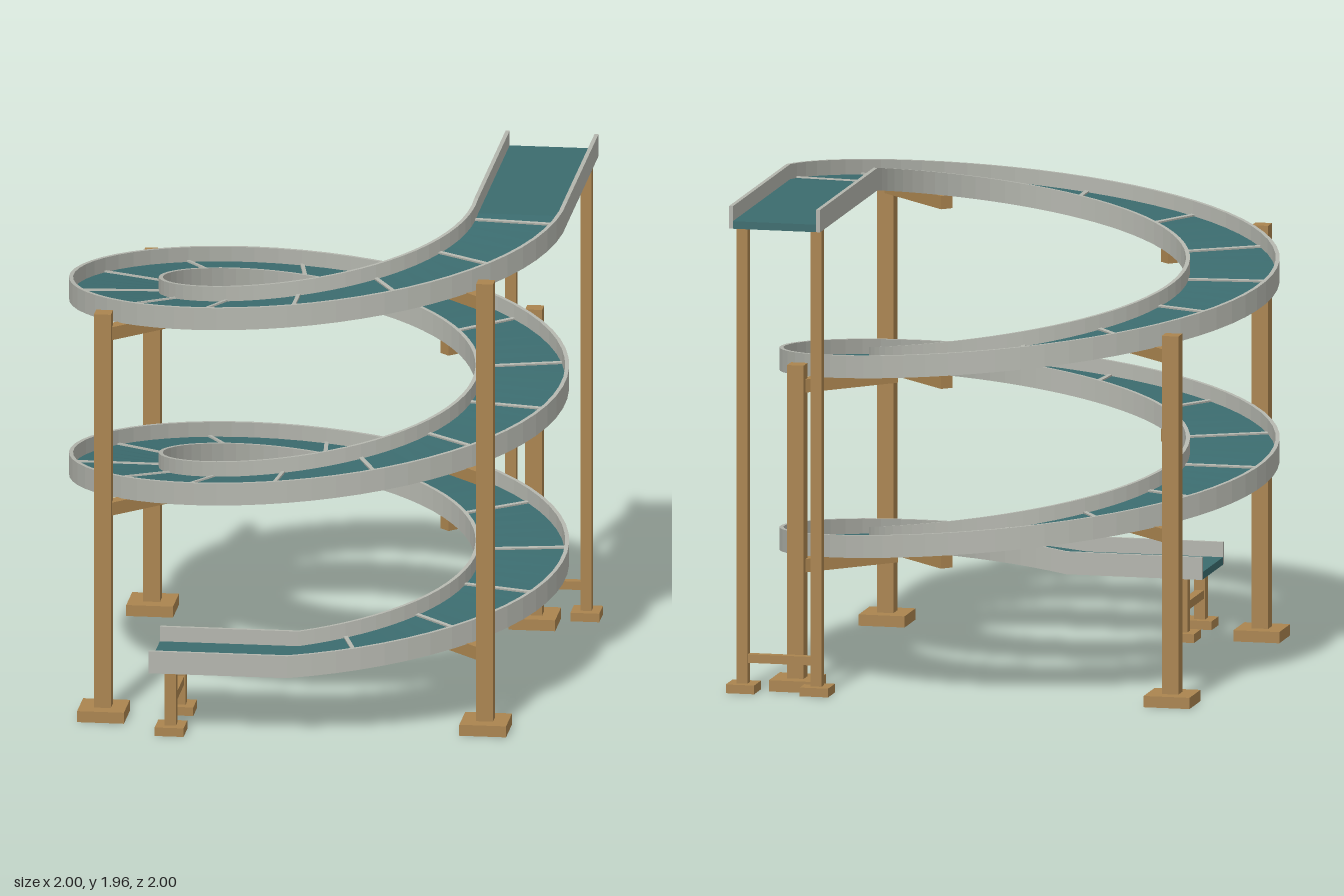
import * as THREE from 'three';

const CX = -0.013, CZ = -0.013;             // helix axis
const R_IN = 0.617, R_OUT = 0.987, R_MID = 0.802, WALL = 0.016;
const BASE = 0.25, PITCH = 0.72, SEGS = 144, STEP = Math.PI * 2 / 64;

const wood = new THREE.MeshStandardMaterial({ color: 0xaa844f });
wood.name = 'wood';
const metal = new THREE.MeshStandardMaterial({ color: 0xb3b5ad });
metal.name = 'grey metal';
const belt = new THREE.MeshStandardMaterial({ color: 0x3b6b6e });
belt.name = 'teal deck';

const heightAt = (t) => BASE + PITCH * t / (Math.PI * 2);

// Stations along the track: straight entry, 2.25 turns, straight exit
const stations = [];
for (let i = 0; i <= SEGS; i++) {
  const t = i * STEP;
  stations.push({ ox: Math.sin(t), oz: Math.cos(t), sx: 0, sz: 0, y: heightAt(t) });
}
stations.unshift({ ...stations[0], sx: -0.552 });
stations.push({ ...stations[stations.length - 1], sz: -0.972 });

// Sweeps a rectangle (radius r0..r1, height h0..h1) along the track, with flat facets
function sweep(r0, r1, h0, h1) {
  const rings = stations.map((s) => [[r0, h0], [r1, h0], [r1, h1], [r0, h1]].map(([r, h]) =>
    [CX + s.ox * r + s.sx, s.y + h, CZ + s.oz * r + s.sz]));
  const pos = [];
  const quad = (a, b, c, d) => pos.push(...a, ...b, ...c, ...a, ...c, ...d);
  for (let i = 0; i < rings.length - 1; i++) {
    for (let k = 0; k < 4; k++) {
      const n = (k + 1) % 4;
      quad(rings[i][k], rings[i + 1][k], rings[i + 1][n], rings[i][n]);
    }
  }
  const first = rings[0], last = rings[rings.length - 1];
  quad(first[0], first[1], first[2], first[3]);
  quad(last[3], last[2], last[1], last[0]);
  const geo = new THREE.BufferGeometry();
  geo.setAttribute('position', new THREE.Float32BufferAttribute(pos, 3));
  geo.computeVertexNormals();
  return geo;
}

function add(parent, name, geo, mat) {
  const mesh = new THREE.Mesh(geo, mat);
  mesh.name = name;
  parent.add(mesh);
  return mesh;
}

// Box given by its size, centre in x and z, and its bottom
function box(parent, name, mat, w, h, d, x, y0, z) {
  const mesh = add(parent, name, new THREE.BoxGeometry(w, h, d), mat);
  mesh.position.set(x, y0 + h / 2, z);
  return mesh;
}

// Leg with a square foot
function leg(parent, name, x, z, top, width, footWidth, footHeight) {
  box(parent, name + 'Foot', wood, footWidth, footHeight, footWidth, x, 0, z);
  box(parent, name, wood, width, top - footHeight, width, x, footHeight, z);
}

export function createModel() {
  const model = new THREE.Group();
  model.name = 'spiralConveyor';

  // Track: deck between two side walls
  const track = new THREE.Group();
  track.name = 'track';
  model.add(track);
  add(track, 'deck', sweep(R_IN + WALL, R_OUT - WALL, 0, 0.03), belt);
  add(track, 'innerWall', sweep(R_IN, R_IN + WALL, 0, 0.09), metal);
  add(track, 'outerWall', sweep(R_OUT - WALL, R_OUT, 0, 0.09), metal);

  // Radial seam strips on the deck
  for (let i = 3; i < SEGS; i += 5) {
    const t = i * STEP;
    const strip = box(track, 'seamStrip', metal, 0.016, 0.012, R_OUT - R_IN - WALL,
      CX + Math.sin(t) * R_MID, heightAt(t) + 0.025, CZ + Math.cos(t) * R_MID);
    strip.rotation.set(0, t, Math.atan(PITCH / (Math.PI * 2 * R_MID)), 'YXZ');
  }

  // Four corner posts, each with arms reaching under every turn
  const POST = 0.76, ARM_END = 0.625, POST_R = POST * Math.SQRT2;
  for (let k = 0; k < 4; k++) {
    const post = new THREE.Group();
    post.name = 'cornerPost';
    model.add(post);
    const a = Math.PI / 4 + k * Math.PI / 2;
    const turns = [];
    for (let t = a; t <= SEGS * STEP; t += Math.PI * 2) turns.push(t);
    const top = heightAt(turns[turns.length - 1]) + 0.06;
    leg(post, 'post', CX + Math.sin(a) * POST_R, CZ + Math.cos(a) * POST_R, top, 0.067, 0.186, 0.045);
    const mid = (POST_R + ARM_END) / 2;
    for (const t of turns) {
      const arm = box(post, 'supportArm', wood, 0.052, 0.053, POST_R - ARM_END,
        CX + Math.sin(a) * mid, heightAt(t) - 0.053, CZ + Math.cos(a) * mid);
      arm.rotation.y = a;
    }
  }

  // Paired legs with a crossbar under each straight end
  const SPREAD = 0.15, MID = CX + R_MID;
  const entry = new THREE.Group();
  entry.name = 'lowerEndStand';
  const exit = new THREE.Group();
  exit.name = 'upperEndStand';
  model.add(entry, exit);
  for (const side of [-1, 1]) {
    leg(entry, 'standLeg', -0.48, MID + side * SPREAD, BASE, 0.045, 0.115, 0.035);
    leg(exit, 'standLeg', MID + side * SPREAD, -0.886, heightAt(SEGS * STEP), 0.045, 0.115, 0.035);
  }
  box(entry, 'crossbar', wood, 0.034, 0.034, SPREAD * 2, -0.48, 0.118, MID);
  box(exit, 'crossbar', wood, SPREAD * 2, 0.034, 0.034, MID, 0.118, -0.886);

  return model;
}
